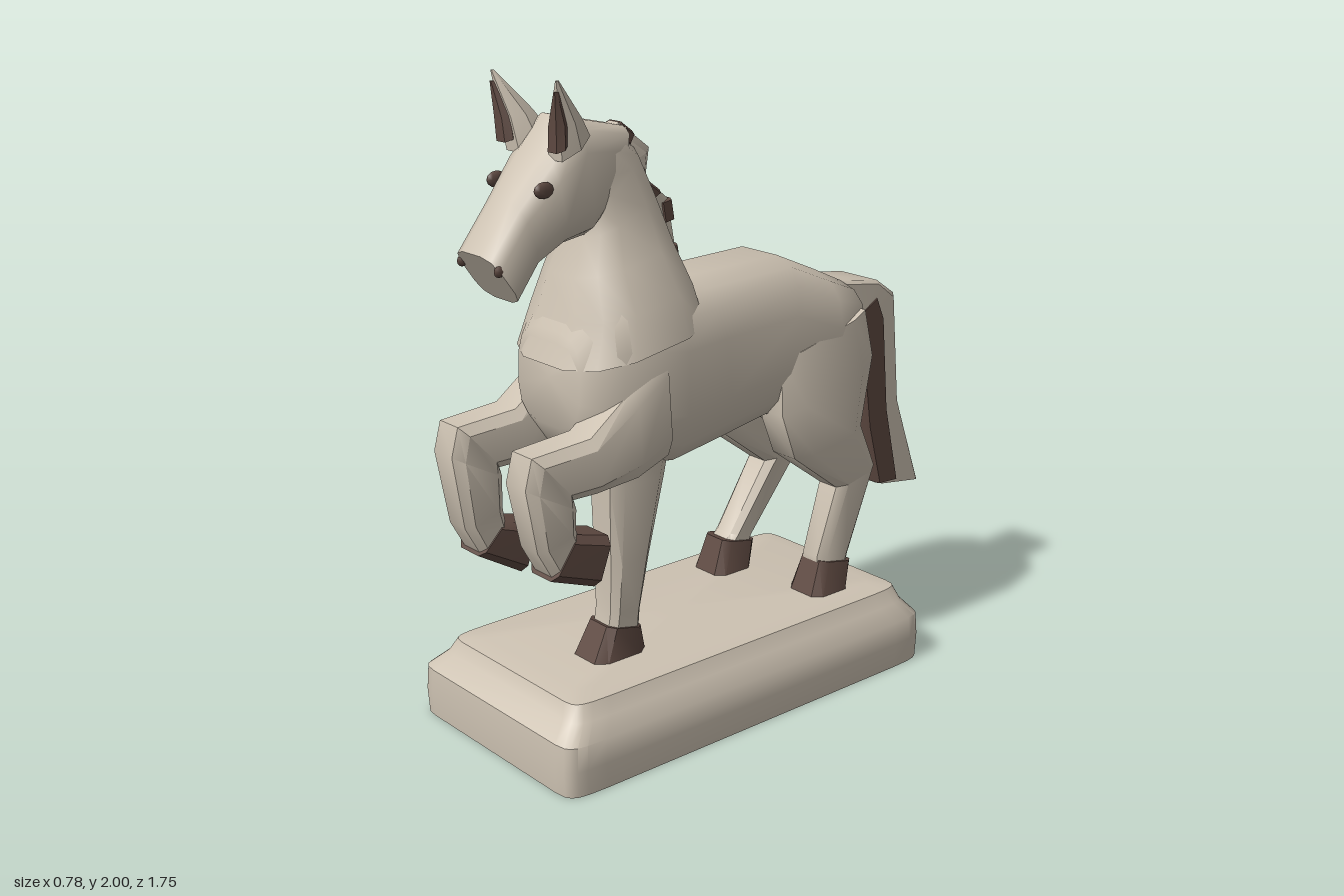
import * as THREE from 'three';
import { toCreasedNormals } from 'three/addons/utils/BufferGeometryUtils.js';

// Skin through rings. Each ring: [az, ay, bz, by, halfWidth, x] where a and b are
// opposite ends of the section in the side plane.
function loft(rings, sides = 8, power = 0.6, crease = 0.7) {
  const pos = [], idx = [];
  const bend = (v) => Math.abs(v) < 1e-6 ? 0 : Math.sign(v) * Math.abs(v) ** power;
  for (const [az, ay, bz, by, w, x = 0] of rings) {
    for (let i = 0; i < sides; i++) {
      const t = (i + 0.5) / sides * Math.PI * 2;
      const c = bend(Math.cos(t)), s = bend(Math.sin(t));
      pos.push(x + s * w, (ay + by) / 2 + c * (ay - by) / 2, (az + bz) / 2 + c * (az - bz) / 2);
    }
  }
  for (let r = 0; r < rings.length - 1; r++) {
    for (let i = 0; i < sides; i++) {
      const j = (i + 1) % sides, p = r * sides, q = p + sides;
      idx.push(p + i, p + j, q + j, p + i, q + j, q + i);
    }
  }
  // end caps
  for (const r of [0, rings.length - 1]) {
    const [az, ay, bz, by, , x = 0] = rings[r];
    const c = pos.length / 3, p = r * sides;
    pos.push(x, (ay + by) / 2, (az + bz) / 2);
    for (let i = 0; i < sides; i++) {
      const j = (i + 1) % sides;
      if (r === 0) idx.push(c, p + j, p + i); else idx.push(c, p + i, p + j);
    }
  }
  // turn the skin outward if its signed volume is negative
  const v = (i) => new THREE.Vector3().fromArray(pos, i * 3);
  let vol = 0;
  for (let i = 0; i < idx.length; i += 3) vol += v(idx[i]).dot(v(idx[i + 1]).cross(v(idx[i + 2])));
  if (vol < 0) idx.reverse();
  const g = new THREE.BufferGeometry();
  g.setAttribute('position', new THREE.Float32BufferAttribute(pos, 3));
  g.setIndex(idx);
  return toCreasedNormals(g, crease);
}

export function createModel() {
  const model = new THREE.Group();
  model.name = 'horseStatue';
  const stone = new THREE.MeshStandardMaterial({ color: 0xcdc2b2 });
  stone.name = 'paleStone';
  const brown = new THREE.MeshStandardMaterial({ color: 0x5f4a42 });
  brown.name = 'darkBrown';
  const add = (name, geo, mat = stone) => {
    const m = new THREE.Mesh(geo, mat);
    m.name = name;
    model.add(m);
    return m;
  };
  const at = (x, rings) => rings.map((r) => [...r.slice(0, 5), x + (r[5] || 0)]);

  // plinth with a stepped, rounded edge
  add('plinth', loft([
    [0.865, 0, -0.595, 0, 0.388], [0.87, 0.08, -0.6, 0.08, 0.39], [0.865, 0.155, -0.595, 0.155, 0.387],
    [0.81, 0.2, -0.56, 0.2, 0.345], [0.79, 0.245, -0.545, 0.245, 0.32], [0.73, 0.257, -0.48, 0.257, 0.26],
  ], 24, 0.1, 0.8));

  // trunk, neck and head
  add('body', loft([
    [-0.525, 1.2, -0.525, 1.02, 0.11], [-0.49, 1.25, -0.47, 0.87, 0.2], [-0.36, 1.31, -0.32, 0.8, 0.235],
    [-0.2, 1.38, -0.09, 0.87, 0.225], [0.15, 1.37, 0.08, 0.835, 0.22], [0.3, 1.38, 0.3, 0.81, 0.25],
    [0.5, 1.4, 0.55, 0.87, 0.235], [0.62, 1.27, 0.63, 0.98, 0.15],
  ], 16, 0.65, 1.1));
  add('neck', loft([
    [0.14, 1.26, 0.65, 1.17, 0.25], [0.18, 1.38, 0.6, 1.3, 0.225], [0.22, 1.5, 0.575, 1.42, 0.165],
    [0.27, 1.64, 0.53, 1.53, 0.125], [0.33, 1.77, 0.52, 1.6, 0.11], [0.42, 1.84, 0.53, 1.64, 0.1],
  ], 12, 0.7, 1.1));
  add('head', loft([
    [0.36, 1.835, 0.45, 1.6, 0.085], [0.58, 1.885, 0.53, 1.54, 0.135], [0.67, 1.785, 0.62, 1.525, 0.125],
    [0.77, 1.665, 0.7, 1.475, 0.1], [0.875, 1.53, 0.77, 1.38, 0.1],
  ], 12, 0.6, 0.9));

  // mane crest and its dark patches
  add('mane', loft([
    [0.145, 1.35, 0.3, 1.35, 0.045], [0.19, 1.6, 0.34, 1.57, 0.045], [0.275, 1.67, 0.38, 1.62, 0.045],
    [0.26, 1.76, 0.38, 1.7, 0.045], [0.37, 1.845, 0.45, 1.74, 0.04],
  ], 8, 0.6));
  const patches = [
    [[0.14, 1.36, 0.24, 1.37, 0.05], [0.162, 1.46, 0.22, 1.45, 0.05]],
    [[0.174, 1.54, 0.23, 1.53, 0.05], [0.184, 1.6, 0.24, 1.59, 0.05]],
    [[0.225, 1.63, 0.28, 1.6, 0.05], [0.265, 1.66, 0.31, 1.62, 0.05]],
    [[0.325, 1.815, 0.35, 1.77, 0.046], [0.365, 1.845, 0.38, 1.79, 0.046]],
  ];
  for (const p of patches) add('manePatch', loft(p, 8, 0.6), brown);

  // ears, eyes and nostrils
  for (const s of [1, -1]) {
    add('ear', loft([
      [0.66, 1.77, 0.55, 1.84, 0.055, s * 0.1], [0.67, 1.87, 0.585, 1.89, 0.045, s * 0.115],
      [0.685, 2, 0.675, 2, 0.004, s * 0.152],
    ], 6, 0.8));
    add('innerEar', loft([
      [0.682, 1.8, 0.64, 1.82, 0.036, s * 0.122], [0.685, 1.87, 0.64, 1.88, 0.032, s * 0.128],
      [0.69, 1.97, 0.675, 1.97, 0.005, s * 0.15],
    ], 6, 0.8), brown);
    const eye = add('eye', new THREE.SphereGeometry(0.03, 10, 6), brown);
    eye.position.set(s * 0.113, 1.7, 0.705);
    eye.scale.set(0.4, 0.8, 1.1);
    const nostril = add('nostril', new THREE.SphereGeometry(0.017, 8, 6), brown);
    nostril.position.set(s * 0.09, 1.49, 0.845);
    nostril.scale.x = 0.6;
  }

  // raised forelegs; the right one hangs a little lower
  for (const [x, d, name] of [[0.18, 0, 'leftRaisedLeg'], [-0.185, 0.07, 'rightRaisedLeg']]) {
    add(name, loft(at(x, [
      [0.38, 1.2, 0.36, 0.88, 0.07], [0.5, 1.12, 0.48, 0.84, 0.08], [0.65, 1.005, 0.63, 0.83, 0.08],
      [0.855, 0.99, 0.71, 0.83, 0.075], [0.88, 0.9, 0.7, 0.8, 0.075],
      [0.84, 0.7 - d / 2, 0.7, 0.74 - d / 2, 0.065], [0.79, 0.61 - d / 2, 0.69, 0.71 - d, 0.065],
    ]), 8, 0.5));
    add('raisedHoof', loft(at(x, [
      [0.8, 0.605 - d / 2, 0.71, 0.73 - d, 0.07], [0.65, 0.55 - d, 0.595, 0.7 - d, 0.078],
    ]), 8, 0.45), brown);
  }

  // standing foreleg
  add('standingForeleg', loft(at(0.1, [
    [0.53, 0.95, 0.28, 0.95, 0.08], [0.525, 0.8, 0.31, 0.8, 0.075], [0.52, 0.55, 0.37, 0.55, 0.065],
    [0.52, 0.4, 0.405, 0.38, 0.058], [0.53, 0.34, 0.41, 0.32, 0.058],
  ]), 8, 0.5));
  add('foreHoof', loft(at(0.1, [
    [0.54, 0.36, 0.405, 0.33, 0.065], [0.6, 0.25, 0.395, 0.25, 0.08],
  ]), 8, 0.5), brown);

  // hind legs; the right foot stands further forward
  for (const [x, d, name] of [[0.17, 0, 'leftHindLeg'], [-0.17, 0.12, 'rightHindLeg']]) {
    add(name, loft(at(x, [
      [-0.1, 1.08, -0.48, 1.18, 0.06], [-0.09, 0.9, -0.5, 1.03, 0.09], [-0.15, 0.75, -0.455, 0.8, 0.085],
      [-0.35, 0.605, -0.53, 0.645, 0.065], [-0.275 + d * 0.6, 0.38, -0.42 + d, 0.36, 0.055],
      [-0.28 + d, 0.34, -0.41 + d, 0.32, 0.055],
    ]), 8, 0.55));
    add('hindHoof', loft(at(x, [
      [-0.28 + d, 0.37, -0.425 + d, 0.34, 0.063], [-0.235 + d, 0.25, -0.4 + d, 0.25, 0.078],
    ]), 8, 0.5), brown);
  }

  // tail with a dark band along its inner edge
  add('tail', loft([
    [-0.44, 1.255, -0.46, 1.1, 0.09], [-0.65, 1.225, -0.56, 1.11, 0.1], [-0.73, 1.17, -0.57, 1.03, 0.1],
    [-0.76, 0.8, -0.615, 0.72, 0.1], [-0.875, 0.48, -0.67, 0.51, 0.1],
  ], 8, 0.2));
  add('tailBand', loft([
    [-0.64, 1.17, -0.57, 1.13, 0.098, 0.007], [-0.675, 1.1, -0.562, 1.03, 0.098, 0.007],
    [-0.7, 0.78, -0.607, 0.72, 0.098, 0.007], [-0.76, 0.51, -0.662, 0.515, 0.098, 0.007],
  ], 8, 0.2), brown);

  return model;
}
